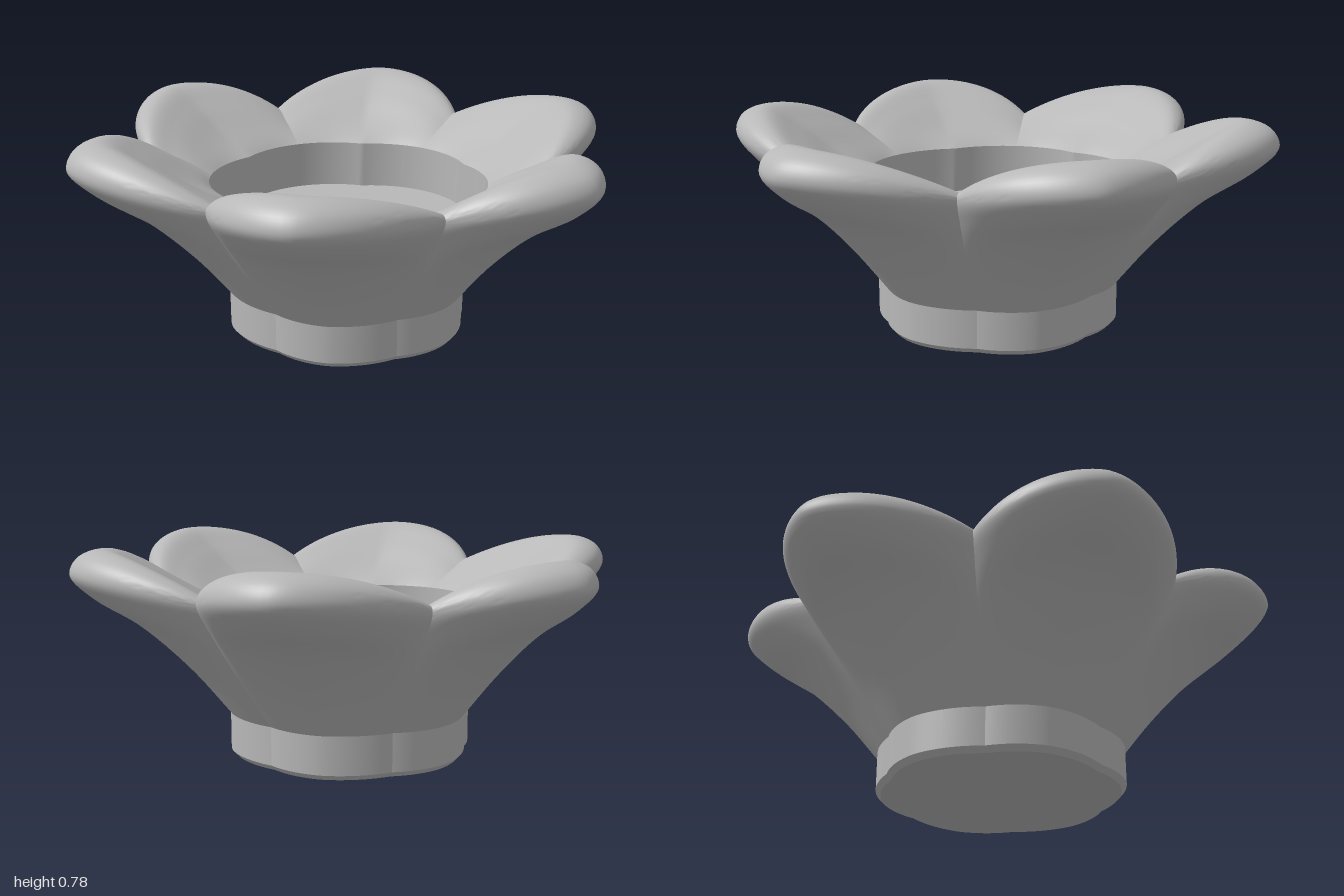
import * as THREE from 'three';
import { toCreasedNormals } from 'three/addons/utils/BufferGeometryUtils.js';

const RAD = Math.PI / 180;
const lerp = THREE.MathUtils.lerp;

// Sixty-degree wedge blended from a petal-centre profile to a valley profile.
// rows(t) sampling is a smooth curve or straight segments; points are [radius, y].
function wedge(centre, mid, edge, { smooth = false, hole = false, cols = 40, crease = 35 } = {}) {
  const sample = (pts) => {
    const v = pts.map(([r, y]) => new THREE.Vector3(r, y, 0));
    if (!smooth) return v;
    const curve = new THREE.CatmullRomCurve3(v, false, 'centripetal');
    return Array.from({ length: 49 }, (_, i) => curve.getPoint(i / 48));
  };
  const a = sample(mid), b = sample(edge);
  const pos = [], index = [], n = cols + 1;
  a.forEach((p, j) => {
    const t = hole ? 1 : smooth ? j / (a.length - 1) : 0;
    for (let i = 0; i <= cols; i++) {
      const u = (i / cols) * 2 - 1;
      const v = Math.abs(u - 0.1 * (1 - u * u)); // tip leans slightly round
      const rim = Math.pow(v, 1.5);
      const lobe = 1 - (1 - Math.abs(u)) ** 2;   // outline of the central hole
      const r = lerp(p.x, b[j].x, lerp(rim, lobe, t ** 6));
      const y = lerp(p.y, b[j].y, v * v);
      const ang = (centre + u * 30) * RAD;
      pos.push(r * Math.cos(ang), y, r * Math.sin(ang));
    }
  });
  for (let j = 0; j < a.length - 1; j++) {
    for (let i = 0; i < cols; i++) {
      const k = j * n + i;
      if (a[j].x > 0) index.push(k, k + n, k + 1);
      if (a[j + 1].x > 0) index.push(k + 1, k + n, k + n + 1);
    }
  }
  const g = new THREE.BufferGeometry();
  g.setAttribute('position', new THREE.Float32BufferAttribute(pos, 3));
  g.setIndex(index);
  return toCreasedNormals(g, crease * RAD);
}

export function createModel() {
  const grey = new THREE.MeshStandardMaterial({ color: 0xb8b8b8 });
  grey.name = 'plain grey';
  const model = new THREE.Group();
  model.name = 'flowerBowl';

  // Petal sections: up the outside, over the rounded rim, down to the hole
  const petalMid = [[0.455, 0.16], [0.6, 0.335], [0.78, 0.505], [0.94, 0.61], [1.012, 0.69],
    [0.985, 0.75], [0.89, 0.777], [0.76, 0.71], [0.62, 0.62], [0.485, 0.55]];
  const petalEdge = [[0.43, 0.16], [0.53, 0.29], [0.62, 0.41], [0.71, 0.54], [0.755, 0.615],
    [0.757, 0.64], [0.735, 0.65], [0.66, 0.62], [0.58, 0.585], [0.515, 0.55]];

  // Recess wall and floor
  const cupMid = [[0.485, 0.55], [0.485, 0.37], [0, 0.37]];
  const cupEdge = [[0.515, 0.55], [0.515, 0.37], [0, 0.37]];

  // Lobed foot with a small bevel below
  const footMid = [[0, 0], [0.437, 0], [0.455, 0.02], [0.455, 0.16]];
  const footEdge = [[0, 0], [0.412, 0], [0.43, 0.02], [0.43, 0.16]];

  const add = (name, geometry) => {
    const mesh = new THREE.Mesh(geometry, grey);
    mesh.name = name;
    model.add(mesh);
  };
  for (let k = 0; k < 6; k++) {
    const centre = 10 + 60 * k;
    add('petal' + (k + 1), wedge(centre, petalMid, petalEdge, { smooth: true, crease: 60 }));
    add('recess' + (k + 1), wedge(centre, cupMid, cupEdge, { hole: true }));
    add('foot' + (k + 1), wedge(centre, footMid, footEdge));
  }
  return model;
}
